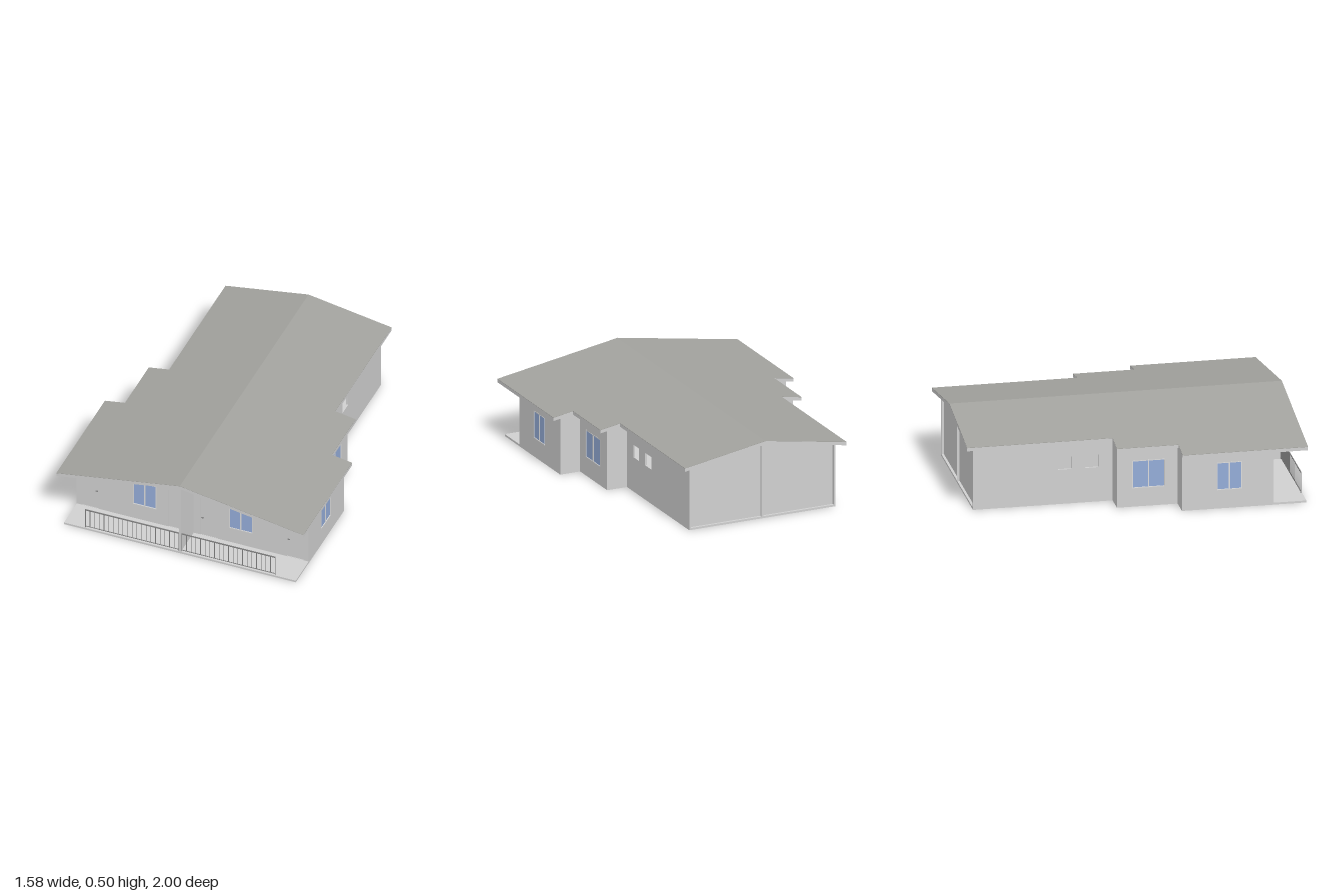
import * as THREE from 'three';

const T = 0.012;          // wall thickness
const FLOOR = 0.012;      // slab height
const SLOPE = 0.169;
const under = (x) => 0.478 - SLOPE * Math.abs(x);   // underside of the roof

export function createModel() {
  const mat = (name, color) => {
    const m = new THREE.MeshStandardMaterial({ color });
    m.name = name;
    return m;
  };
  const wallGrey = mat('wall grey', 0xd0d0d0);
  const roofGrey = mat('roof grey', 0xa2a29e);
  const glassBlue = mat('glass blue', 0x94acd8);
  const frameGrey = mat('frame light grey', 0xdcdcdc);
  const railGrey = mat('rail grey', 0x808080);

  const house = new THREE.Group();
  house.name = 'house';

  const add = (parent, name, geo, material, x = 0, y = 0, z = 0) => {
    const m = new THREE.Mesh(geo, material);
    m.name = name;
    m.position.set(x, y, z);
    parent.add(m);
    return m;
  };
  const box = (parent, name, material, x0, x1, y0, y1, z0, z1) =>
    add(parent, name, new THREE.BoxGeometry(x1 - x0, y1 - y0, z1 - z0), material,
      (x0 + x1) / 2, (y0 + y1) / 2, (z0 + z1) / 2);
  const polygon = (pts) => new THREE.Shape(pts.map((p) => new THREE.Vector2(p[0], p[1])));
  const rect = ([a, b, c, d]) => [[a, c], [b, c], [b, d], [a, d]];

  // Wall outline with rectangular openings [u0, u1, y0, y1]
  const panel = (pts, holes = [], depth = T) => {
    const s = polygon(pts);
    for (const h of holes) s.holes.push(polygon(rect(h)));
    return new THREE.ExtrudeGeometry(s, { depth, bevelEnabled: false });
  };

  // Sliding window filling an opening; front face looks along +z
  const windowUnit = ([u0, u1, y0, y1]) => {
    const g = new THREE.Group();
    g.name = 'window';
    const f = 0.005, mid = (u0 + u1) / 2;
    add(g, 'windowFrame', panel(rect([u0, u1, y0, y1]), [
      [u0 + f, mid - 0.004, y0 + f, y1 - f],
      [mid + 0.004, u1 - f, y0 + f, y1 - f],
    ], 0.009), frameGrey, 0, 0, -0.008);
    box(g, 'leftPane', glassBlue, u0 + f, mid - 0.004, y0 + f, y1 - f, -0.007, -0.003);
    box(g, 'rightPane', glassBlue, mid + 0.004, u1 - f, y0 + f, y1 - f, -0.007, -0.003);
    return g;
  };

  // Floor slab with stepped outline, including the porch
  const half = [[0.74, 1], [0.74, 0.25], [0.61, 0.25], [0.61, -0.115], [0.48, -0.115], [0.48, -0.955]]
    .map(([x, z]) => [x - 0.0005, -z]);
  const outline = [...half, ...half.map(([x, y]) => [-x, y]).reverse()];
  const slab = new THREE.ExtrudeGeometry(polygon(outline), { depth: FLOOR, bevelEnabled: false });
  slab.rotateX(-Math.PI / 2);
  add(house, 'floorSlab', slab, wallGrey);

  // Front wall with windows and doors
  const doors = [], windows = [];
  for (const s of [-1, 1]) {
    const span = (a, b, c, d) => (s > 0 ? [a, b, c, d] : [-b, -a, c, d]);
    doors.push(span(0.05, 0.157, FLOOR + 0.001, 0.283), span(0.6, 0.707, FLOOR + 0.001, 0.283));
    windows.push(span(0.232, 0.382, 0.115, 0.286));
  }
  const gable = (w) => [[-w, 0], [w, 0], [w, under(w)], [0, under(0)], [-w, under(w)]];
  add(house, 'frontWall', panel(gable(0.74), [...doors, ...windows]), wallGrey, 0, 0, 0.8 - T);
  for (const w of windows) {
    const g = windowUnit(w);
    g.position.z = 0.8;
    house.add(g);
  }
  for (const [a, b, c, d] of doors) {
    box(house, 'door', wallGrey, a, b, c, d, 0.79, 0.796);
    const x = a > 0 ? a + 0.012 : b - 0.012;
    box(house, 'doorHandle', railGrey, x - 0.007, x + 0.007, 0.138, 0.142, 0.796, 0.803);
  }

  // Back wall, set slightly inside the side walls
  add(house, 'backWall', panel(gable(0.479)), wallGrey, 0, 0, -0.94);

  // Party wall along the middle, running out to the porch edge
  box(house, 'partyWall', wallGrey, -0.006, 0.006, FLOOR, 0.477, -0.955, 0.998);

  // Stepped side walls: outer x, z range, openings
  const sections = [
    { x: 0.74, z0: 0.25, z1: 0.8, glazed: [[0.46, 0.61, 0.115, 0.288]], open: [] },
    { x: 0.61, z0: -0.115, z1: 0.25, glazed: [[-0.025, 0.175, 0.115, 0.288]], open: [] },
    { x: 0.48, z0: -0.955, z1: -0.115, glazed: [],
      open: [[-0.28, -0.2, 0.215, 0.293], [-0.445, -0.36, 0.215, 0.293]] },
  ];
  for (const s of [-1, 1]) {
    for (const { x, z0, z1, glazed, open } of sections) {
      const geo = panel(rect([z0, z1, 0, under(x)]), [...glazed, ...open]);
      geo.rotateY(-Math.PI / 2);
      add(house, 'sideWall', geo, wallGrey, s > 0 ? x : -x + T);
      for (const [a, b, c, d] of glazed) {
        const g = windowUnit(s > 0 ? [-b, -a, c, d] : [a, b, c, d]);
        g.rotation.y = s * Math.PI / 2;
        g.position.x = s * x;
        house.add(g);
      }
    }
    // Return walls at the two steps
    for (const [a, b, z] of [[0.61, 0.74, 0.25], [0.48, 0.61, -0.115]]) {
      const p = [[s * (a - T), 0], [s * b, 0], [s * b, under(b)], [s * (a - T), under(a - T)]];
      add(house, 'returnWall', panel(p), wallGrey, 0, 0, z);
    }
  }

  // Gabled roof in three widths: grey body with a thin covering on top
  const chevron = (w, lo, hi) => [
    [-w, under(w) + lo], [0, under(0) + lo], [w, under(w) + lo],
    [w, under(w) + hi], [0, under(0) + hi], [-w, under(w) + hi],
  ];
  for (const [w, z0, z1] of [[0.788, 0.245, 1], [0.66, -0.125, 0.245], [0.53, -1, -0.125]]) {
    add(house, 'roofBody', panel(chevron(w, 0, 0.02), [], z1 - z0), wallGrey, 0, 0, z0);
    add(house, 'roofCovering', panel(chevron(w, 0.02, 0.022), [], z1 - z0), roofGrey, 0, 0, z0);
  }

  // Porch railings on both sides of the party wall
  for (const s of [-1, 1]) {
    const rail = new THREE.Group();
    rail.name = 'porchRailing';
    const mid = s * 0.3075;
    box(rail, 'topRail', railGrey, mid - 0.3, mid + 0.3, 0.139, 0.145, 0.99, 0.996);
    box(rail, 'bottomRail', railGrey, mid - 0.3, mid + 0.3, 0.02, 0.023, 0.991, 0.995);
    for (let i = 0; i <= 20; i++) {
      const x = s * (0.0095 + i * 0.0298), r = i % 20 === 0 ? 0.002 : 0.0014;
      box(rail, 'baluster', railGrey, x - r, x + r, i % 20 === 0 ? FLOOR : 0.022, 0.14, 0.993 - r, 0.993 + r);
    }
    house.add(rail);
  }
  return house;
}
